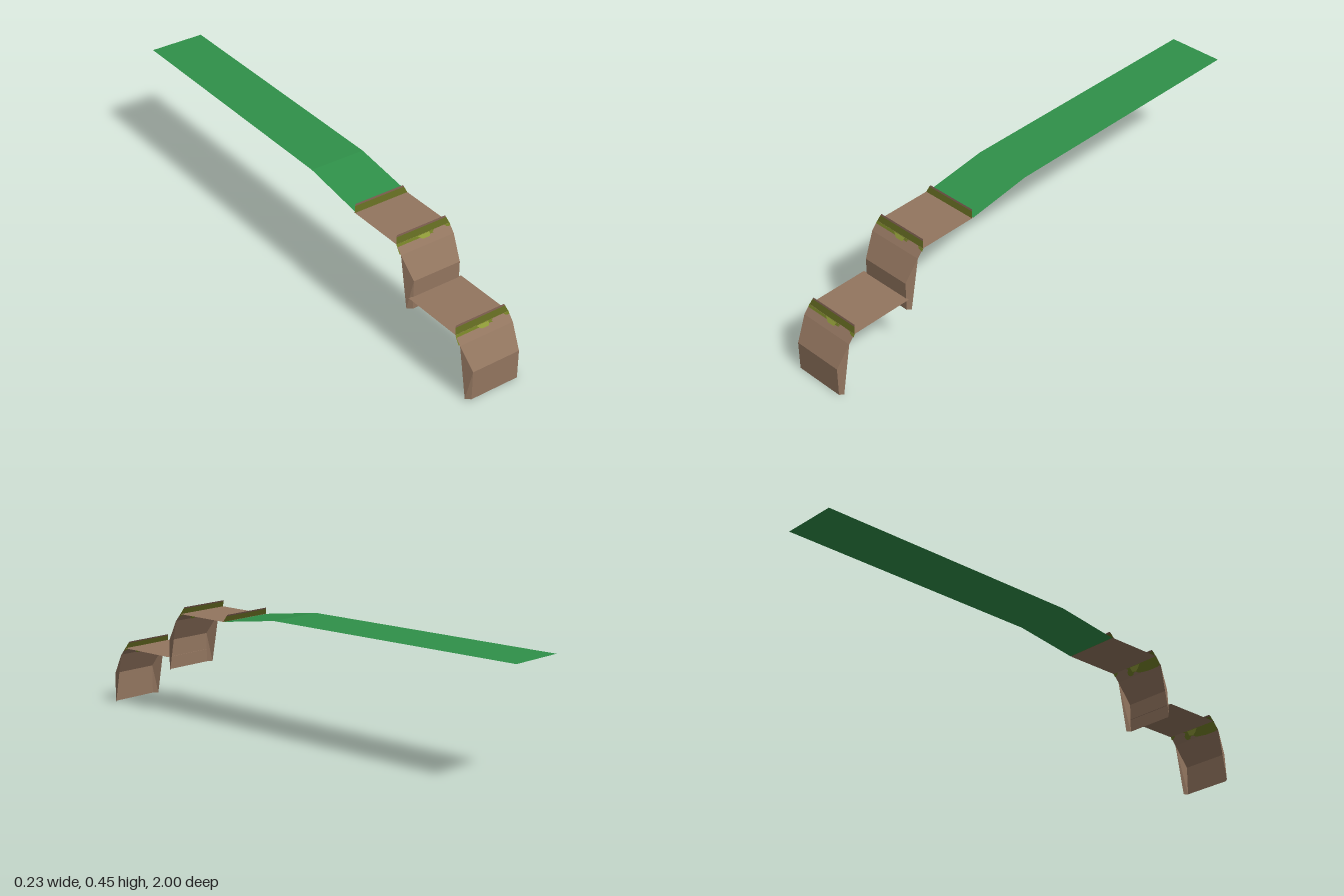
import * as THREE from 'three';

const material = (name, color) => {
  const m = new THREE.MeshStandardMaterial({ color, side: THREE.DoubleSide });
  m.name = name;
  return m;
};

// Flat-shaded sheet through rows of points; each row has the same point count.
function sheet(name, mat, rows) {
  const pos = [];
  for (let r = 0; r + 1 < rows.length; r++) {
    for (let i = 0; i + 1 < rows[r].length; i++) {
      const a = rows[r][i], b = rows[r][i + 1], c = rows[r + 1][i], d = rows[r + 1][i + 1];
      pos.push(...a, ...c, ...b, ...b, ...c, ...d);
    }
  }
  const geo = new THREE.BufferGeometry();
  geo.setAttribute('position', new THREE.Float32BufferAttribute(pos, 3));
  geo.computeVertexNormals();
  const mesh = new THREE.Mesh(geo, mat);
  mesh.name = name;
  return mesh;
}

const L = -0.118, R = 0.111; // outer edges of the rock
const row = (y, z, x0 = L, x1 = R) => [[x0, y, z], [x1, y, z]];

export function createModel() {
  const rock = material('rock brown', 0x92755f);
  const rim = material('rim brown', 0x75594a);
  const moss = material('moss green', 0x6f7a24);
  const darkMoss = material('dark moss', 0x5f661f);
  const paleMoss = material('pale moss', 0x8f9a38);
  const grass = material('grass green', 0x2f9049);
  const model = new THREE.Group();
  model.name = 'steppedPath';

  // Raised lip: mossy band with a bare rim, tapering and leaning back
  function lip(y, z) {
    const g = new THREE.Group();
    g.name = 'lip';
    const mid = row(y + 0.021, z - 0.009, L + 0.007, R - 0.008);
    g.add(sheet('lipMoss', darkMoss, [mid, row(y, z)]));
    g.add(sheet('lipRim', rim, [row(y + 0.027, z - 0.012, L + 0.01, R - 0.011), mid]));
    return g;
  }

  // Moss outline given as x and drop below the ledge, laid on the sloping face
  function mossPatch(name, mat, points, lift) {
    const geo = new THREE.ShapeGeometry(new THREE.Shape(points.map(p => new THREE.Vector2(p[0], -p[1]))));
    const p = geo.attributes.position;
    for (let i = 0; i < p.count; i++) {
      const drop = -p.getY(i);
      p.setXYZ(i, p.getX(i), 0.23 - drop + lift * 0.5, 0.922 + drop * 0.64 + lift * 0.85);
    }
    geo.computeVertexNormals();
    const mesh = new THREE.Mesh(geo, mat);
    mesh.name = name;
    return mesh;
  }
  const mossShape = [[L, 0], [L, 0.031], [-0.1, 0.034], [-0.06, 0.034], [-0.03, 0.031], [-0.008, 0.028],
    [0.002, 0.021], [0.016, 0.021], [0.024, 0.028], [0.036, 0.029], [0.044, 0.024], [0.044, 0.014], [0.034, 0.005], [0.044, 0]];
  const paleShape = [[-0.03, 0.001], [-0.016, 0.012], [0, 0.02], [0.018, 0.018], [0.022, 0.001]];
  const edgeShape = [[0.088, 0], [0.094, 0.006], [R, 0.011], [R, 0]];

  // Two identical rock steps
  for (let s = 0; s < 2; s++) {
    const step = new THREE.Group();
    step.name = s ? 'upperStep' : 'lowerStep';
    step.position.set(0, 0.18 * s, -0.326 * s);
    step.add(sheet('ledge', rock, [row(0.23, s ? 0.681 : 0.671), row(0.23, 0.922)]));
    step.add(sheet('rockFace', rock, [
      row(0.23, 0.922), row(0.2, 0.948), row(0.115, 1, -0.1, 0.1), row(0, 1, -0.1, 0.1),
    ]));
    // Chamfered corners closing the sides of the face
    for (const [name, outer, inner] of [['leftCorner', R, 0.1], ['rightCorner', L, -0.1]]) {
      const top = [outer, 0.2, 0.948];
      const a = [inner, 0.115, 1], b = [inner, 0, 1], c = [outer, 0, 0.986];
      step.add(sheet(name, rock, outer > 0 ? [[a, top], [b, c]] : [[top, a], [c, b]]));
    }
    step.add(lip(0.23, 0.922));
    for (const side of [1, -1]) {
      step.add(mossPatch('moss', moss, mossShape, 0.0015 * side));
      step.add(mossPatch('paleMoss', paleMoss, paleShape, 0.0025 * side));
      step.add(mossPatch('mossCorner', moss, edgeShape, 0.0015 * side));
    }
    model.add(step);
  }

  // Last lip and the grass ramp running back to a level strip
  model.add(lip(0.41, 0.361));
  model.add(sheet('grassStrip', grass, [
    row(0.448, -1, -0.112, 0.112), row(0.448, 0.095, -0.113, 0.112), row(0.411, 0.355, -0.114, 0.112),
  ]));
  return model;
}
